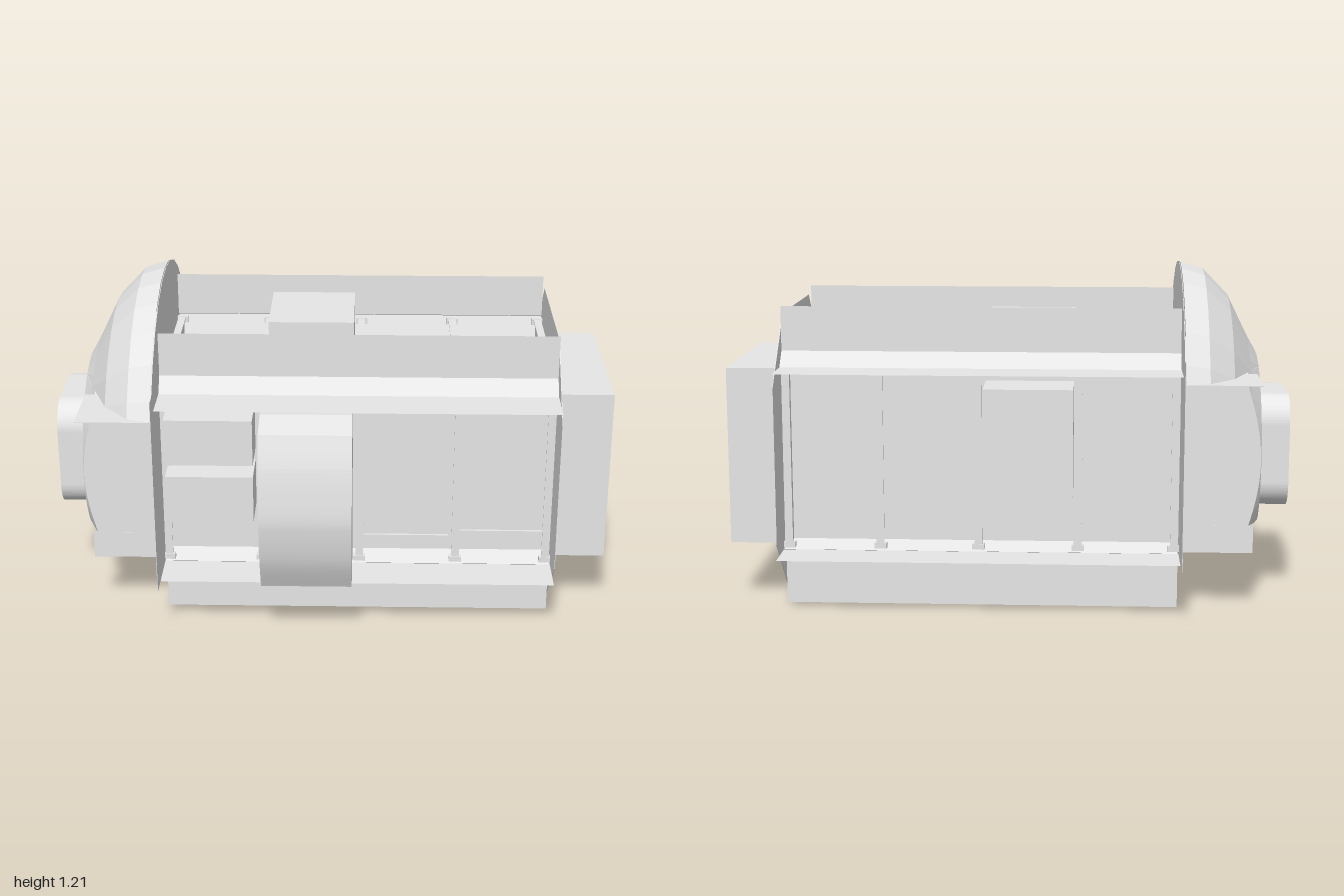
import * as THREE from 'three';

const CY = 0.54, CZ = -0.035; // long axis of the body

export function createModel() {
  const model = new THREE.Group();
  const grey = new THREE.MeshStandardMaterial({ color: 0xe6e6e6, side: THREE.DoubleSide, flatShading: true });
  grey.name = 'hull grey';

  const add = (name, geometry, parent = model) => {
    const mesh = new THREE.Mesh(geometry, grey);
    mesh.name = name;
    parent.add(mesh);
    return mesh;
  };
  const box = (name, x0, x1, y0, y1, z0, z1, parent) => add(name,
    new THREE.BoxGeometry(x1 - x0, y1 - y0, z1 - z0)
      .translate((x0 + x1) / 2, (y0 + y1) / 2, (z0 + z1) / 2), parent);
  // Outline from (z, y) points measured from the long axis
  const shapeOf = pts => new THREE.Shape(pts.map(([z, y]) => new THREE.Vector2(CZ + z, CY + y)));
  // Extrude a (z, y) outline along x, from x1 down by depth
  const slab = (name, shape, x1, depth) => add(name,
    new THREE.ExtrudeGeometry(shape, { depth, bevelEnabled: false, curveSegments: 8 })
      .rotateY(-Math.PI / 2).translate(x1, 0, 0));
  // Grid surface whose vertices are placed by rule(row, column) -> [x, y, z]
  const surface = (name, rows, cols, rule) => {
    const g = new THREE.PlaneGeometry(1, 1, cols, rows);
    const p = g.attributes.position;
    for (let i = 0; i < p.count; i++) p.setXYZ(i, ...rule(Math.floor(i / (cols + 1)), i % (cols + 1)));
    g.computeVertexNormals();
    return add(name, g);
  };

  // Central core with recessed bays, divided by I-shaped posts on its four sides
  const core = 0.305;
  box('core', -0.6, 0.795, CY - core, CY + core, CZ - core, CZ + core);
  for (let i = 0; i < 4; i++) {
    const side = new THREE.Group();
    side.name = 'baySide';
    side.position.set(0, CY, CZ);
    side.rotation.x = i * Math.PI / 2;
    model.add(side);
    for (const x of [-0.587, -0.247, 0.105, 0.453, 0.78]) {
      box('postWeb', x - 0.006, x + 0.006, -0.318, 0.318, core, 0.368, side);
      box('postFlange', x - 0.014, x + 0.014, -0.32, 0.32, 0.366, 0.372, side);
      for (const s of [-1, 1])
        box('postFoot', x - 0.022, x + 0.022, s * 0.312 - 0.01, s * 0.312 + 0.01, 0.35, 0.374, side);
    }
  }

  // Corner longerons: upright fin, sloped strip, level fin, and the beam that joins them to the core
  const profile = [[0.33, 0.537], [0.33, 0.38], [0.378, 0.328], [0.535, 0.328]]; // z, y
  for (const sy of [-1, 1]) for (const sz of [-1, 1]) {
    surface('longeron', 3, 1, (r, c) =>
      [c * 1.4 - 0.602, CY + sy * profile[r][1], CZ + sz * profile[r][0]]);
    slab('cornerBeam', shapeOf([[0.33, 0.378], [0.376, 0.328], [core, core]]
      .map(([z, y]) => [sz * z, sy * y])), 0.797, 1.397);
  }

  // Octagonal end plate and end box
  const a = 0.508, b = 0.277;
  slab('octagonPlate', shapeOf([[b, a], [a, b], [a, -b], [b, -a], [-b, -a], [-a, -b], [-a, b], [-b, a]]), 0.801, 0.002);
  box('endBox', 0.81, 1, 0.22, 0.855, CZ - 0.318, CZ + 0.318);

  // Bulkhead behind the dome: rectangle topped by an arc
  const R = 0.67, h = 0.385, w = Math.sqrt(R * R - h * h), step = Math.PI / 16;
  const outline = [[0.597, -0.335], [0.597, h], [w, h]];
  for (let j = 4; j >= -4; j--) outline.push([R * Math.sin(j * step), R * Math.cos(j * step)]);
  outline.push([-w, h], [-0.597, h], [-0.597, -0.335]);
  slab('bulkhead', shapeOf(outline), -0.604, 0.002);

  // Dome: rings about x, cut off level at the flange
  const rings = [[-0.608, 0.67], [-0.69, 0.645], [-0.78, 0.552], [-0.85, 0.41], [-0.888, 0.342]]; // x, radius
  const cut = 0.31;
  surface('dome', rings.length - 1, 12, (row, col) => {
    const [x, r] = rings[row], limit = Math.acos(cut / r);
    const t = THREE.MathUtils.clamp((col - 6) * step, -limit, limit);
    return [x, CY + r * Math.cos(t), CZ + r * Math.sin(t)];
  });

  // Nose below the dome: same curve trimmed to a square, with flat sides running back
  const domeX = r => {
    for (let i = rings.length - 1; i > 0; i--) {
      const [x0, r0] = rings[i], [x1, r1] = rings[i - 1];
      if (r <= r1) return THREE.MathUtils.mapLinear(Math.max(r, r0), r0, r1, x0, x1);
    }
    return rings[0][0];
  };
  surface('nose', 5, 64, (row, col) => {
    const t = col * Math.PI / 32, up = Math.cos(t), out = Math.abs(Math.sin(t));
    const edge = Math.min(0.345 / Math.max(out, 1e-6), (up > 0 ? cut : 0.235) / Math.max(Math.abs(up), 1e-6));
    const inner = Math.min(0.342, edge);
    const r = [0, inner, Math.min(0.41, edge), edge, edge, edge][row];
    const x = row === 5 ? -0.61 : domeX(r);
    return [x, CY + r * up, CZ + r * Math.sin(t)];
  });
  // Plates running out from the nose: level wings above, upright skirts below
  for (const s of [-1, 1]) {
    add('domeFlange', new THREE.BoxGeometry(0.255, 0.003, 0.25).translate(-0.7375, 0.85, CZ + s * 0.47));
    add('noseSkirt', new THREE.BoxGeometry(0.255, 0.1, 0.003).translate(-0.7375, 0.26, CZ + s * 0.344));
  }

  // Open rounded-square port
  const q = 0.205, c = 0.1;
  const roundSquare = (target, s, r) => {
    const k = s - r;
    [[k, k], [-k, k], [-k, -k], [k, -k]].forEach(([z, y], i) =>
      target.absarc(CZ + z, CY + y, r, i * Math.PI / 2, (i + 1) * Math.PI / 2, false));
    target.closePath();
    return target;
  };
  const port = roundSquare(new THREE.Shape(), q, c);
  port.holes.push(roundSquare(new THREE.Path(), q - 0.003, c - 0.003));
  slab('port', port, -0.885, 0.115);

  // Equipment boxes set in the bays
  box('topBox', -0.23, 0.08, 0.84, 1.03, -0.3, 0.04);
  box('backBox', -0.23, 0.08, 0.44, 0.815, -0.53, -0.335);
  box('frontUpperBox', -0.58, -0.27, 0.635, 0.805, 0.265, 0.43);
  box('frontLowerBox', -0.58, -0.27, 0.42, 0.59, 0.265, 0.43);
  box('frontRail', 0.47, 0.77, 0.305, 0.315, 0.265, 0.28);
  box('frontRail', 0.12, 0.43, 0.285, 0.295, 0.265, 0.28);
  for (const z of [-0.24, -0.15, -0.06, 0.03, 0.12])
    box('topSlat', 0.12, 0.43, 0.84, 0.85, z - 0.006, z + 0.006);

  // Bulged front panel
  const bulge = new THREE.Shape();
  bulge.moveTo(0.33, 0.225);
  bulge.lineTo(0.43, 0.21);
  bulge.lineTo(0.55, 0.225);
  bulge.splineThru([[0.602, 0.34], [0.63, 0.46], [0.635, 0.55], [0.615, 0.7], [0.575, 0.817]]
    .map(p => new THREE.Vector2(p[0], p[1])));
  bulge.lineTo(0.46, 0.845);
  bulge.lineTo(0.33, 0.835);
  slab('bulgedPanel', bulge, 0.08, 0.32);

  return model;
}
